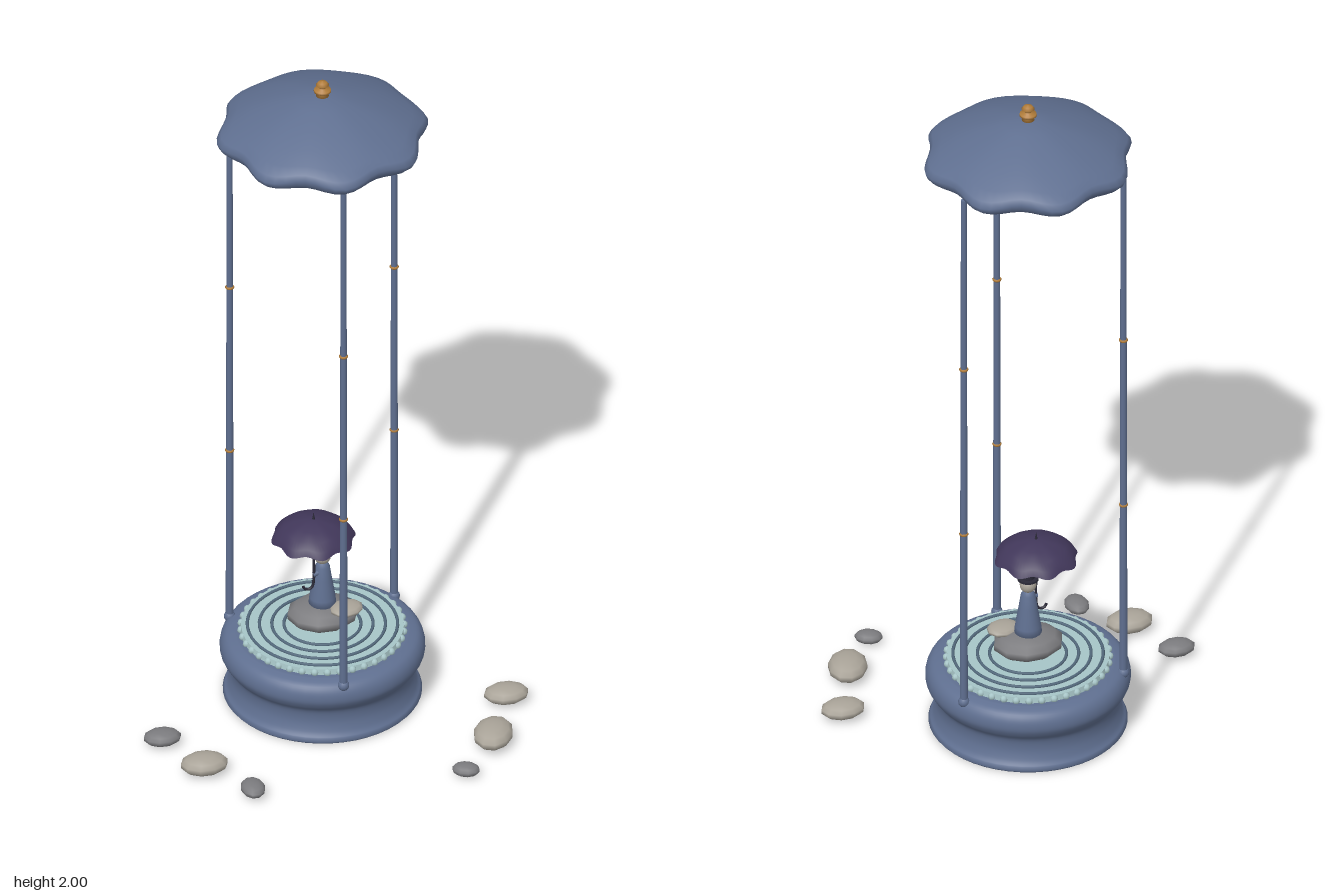
import * as THREE from 'three';
import { mergeVertices } from 'three/addons/utils/BufferGeometryUtils.js';

const mat = (name, color, side = THREE.FrontSide) => {
  const m = new THREE.MeshStandardMaterial({ color, side });
  m.name = name;
  return m;
};

export function createModel() {
  const slate = mat('slate blue', 0x5f6f90);
  const gold = mat('old gold', 0xb07c3a);
  const water = mat('pale water', 0xa6c4c6);
  const ripple = mat('ripple blue', 0x53697c);
  const paleStone = mat('pale stone', 0xa9a398);
  const greyStone = mat('grey stone', 0x7b7b7e);
  const purple = mat('dark purple', 0x41375a, THREE.DoubleSide);
  const dark = mat('dark hat', 0x2b2a38);
  const lining = mat('canopy lining', 0x8a9a9c, THREE.DoubleSide);

  const model = new THREE.Group();
  const tower = new THREE.Group();
  tower.name = 'tower';
  tower.position.z = -0.12;
  model.add(tower);

  const add = (parent, name, geo, material, x = 0, y = 0, z = 0) => {
    const m = new THREE.Mesh(geo, material);
    m.name = name;
    m.position.set(x, y, z);
    parent.add(m);
    return m;
  };
  const lathe = (pts, seg = 48) =>
    new THREE.LatheGeometry(pts.map(([r, y]) => new THREE.Vector2(r, y)), seg);

  // Lathe whose rim is pulled in and lifted between eight ribs
  const lobed = (pts, R, pull, lift) => {
    let g = lathe(pts, 64);
    const p = g.attributes.position;
    for (let i = 0; i < p.count; i++) {
      const x = p.getX(i), z = p.getZ(i);
      const t = Math.min(1, Math.hypot(x, z) / R) ** 3;
      const w = (1 - Math.cos(8 * Math.atan2(z, x))) / 2;
      const k = 1 - pull * t * w;
      p.setXYZ(i, x * k, p.getY(i) + lift * t * w, z * k);
    }
    g.deleteAttribute('uv');
    g.deleteAttribute('normal');
    g = mergeVertices(g, 1e-5);
    g.computeVertexNormals();
    return g;
  };

  // Base with a hollow waist
  const profile = new THREE.SplineCurve([
    [0.268, 0.02], [0.258, 0.035], [0.25, 0.065], [0.253, 0.098], [0.27, 0.122],
    [0.28, 0.145], [0.277, 0.172], [0.262, 0.192], [0.235, 0.201],
  ].map(([x, y]) => new THREE.Vector2(x, y))).getPoints(32).map(v => [v.x, v.y]);
  add(tower, 'base', lathe([[0, 0.003], [0.266, 0.003], [0.272, 0.01], ...profile, [0, 0.201]]), slate);

  // Pool with a beaded edge and ripple rings
  add(tower, 'pool', new THREE.CylinderGeometry(0.222, 0.226, 0.02, 48), water, 0, 0.207, 0);
  for (let i = 0; i < 40; i++) {
    const a = i / 40 * Math.PI * 2;
    add(tower, 'poolBead', new THREE.SphereGeometry(0.011, 8, 6), water,
      0.222 * Math.cos(a), 0.207, 0.222 * Math.sin(a));
  }
  for (const r of [0.205, 0.172, 0.138, 0.105]) {
    const ring = add(tower, 'ripple', new THREE.TorusGeometry(r, 0.0045, 6, 48), ripple, 0, 0.219, 0);
    ring.rotation.x = Math.PI / 2;
  }

  // Three posts with gold collars
  for (let i = 0; i < 3; i++) {
    const a = i * Math.PI * 2 / 3;
    const post = new THREE.Group();
    post.name = 'post';
    post.position.set(0.265 * Math.sin(a), 0, 0.265 * Math.cos(a));
    tower.add(post);
    add(post, 'postShaft', new THREE.CylinderGeometry(0.008, 0.011, 1.64, 10), slate, 0, 1.0, 0);
    add(post, 'postFoot', new THREE.SphereGeometry(0.016, 12, 8), slate, 0, 0.19, 0);
    for (const y of [0.735, 1.27]) {
      const collar = add(post, 'postCollar', new THREE.TorusGeometry(0.009, 0.004, 6, 12), gold, 0, y, 0);
      collar.rotation.x = Math.PI / 2;
    }
  }

  // Canopy roof with rolled rim
  add(tower, 'canopy', lobed([
    [0, 1.83], [0.13, 1.82], [0.255, 1.806], [0.275, 1.808], [0.288, 1.819], [0.294, 1.834],
    [0.282, 1.85], [0.25, 1.868], [0.2, 1.893], [0.14, 1.918], [0.07, 1.942], [0, 1.956],
  ], 0.294, 0.09, 0.012), slate);

  // Lining wedges under the canopy
  for (let i = 0; i < 8; i++) {
    const a = (i + 0.5) * Math.PI / 4, r = 0.235;
    const pt = d => [r * Math.cos(a + d), 1.805, r * Math.sin(a + d)];
    const g = new THREE.BufferGeometry();
    g.setAttribute('position', new THREE.Float32BufferAttribute(
      [0, 1.826, 0, ...pt(-0.12), ...pt(0.12)], 3));
    g.computeVertexNormals();
    add(tower, 'liningWedge', g, lining);
  }

  // Finial
  add(tower, 'finial', lathe([
    [0, 1.948], [0.02, 1.95], [0.012, 1.958], [0.024, 1.967], [0.023, 1.973], [0.01, 1.978],
    [0.012, 1.983], [0.018, 1.988], [0.012, 1.996], [0, 2.0],
  ], 20), gold);

  // Stones: squashed spheres
  const stone = (parent, name, material, [x, y, z], [sx, sy, sz], turn = 0, tilt = 0) => {
    const s = add(parent, name, new THREE.SphereGeometry(1, 10, 7), material, x, y, z);
    s.scale.set(sx, sy, sz);
    s.rotation.set(0, turn, tilt);
  };
  stone(tower, 'seatRock', greyStone, [0, 0.256, 0], [0.1, 0.038, 0.085]);
  stone(tower, 'smallRock', paleStone, [0.058, 0.287, 0.04], [0.048, 0.015, 0.04], 0.3);
  stone(model, 'pebble', greyStone, [-0.485, 0.03, 0.052], [0.053, 0.021, 0.039]);
  stone(model, 'pebble', paleStone, [-0.403, 0.035, 0.21], [0.067, 0.027, 0.05]);
  stone(model, 'pebble', greyStone, [-0.297, 0.028, 0.345], [0.034, 0.019, 0.046]);
  stone(model, 'pebble', paleStone, [0.475, 0.033, 0.05], [0.063, 0.024, 0.047]);
  stone(model, 'pebble', paleStone, [0.397, 0.037, 0.24], [0.055, 0.03, 0.075], 2.75);
  stone(model, 'pebble', greyStone, [0.29, 0.025, 0.378], [0.039, 0.017, 0.03], -0.4);

  // Robed figure with a hat
  const figure = new THREE.Group();
  figure.name = 'figure';
  tower.add(figure);
  add(figure, 'robe', lathe([[0, 0.28], [0.039, 0.28], [0.036, 0.31], [0.026, 0.37], [0.02, 0.41], [0.012, 0.422], [0, 0.424]], 20), slate);
  add(figure, 'head', new THREE.SphereGeometry(0.023, 16, 12), paleStone, 0, 0.441, 0);
  add(figure, 'hatBrim', new THREE.CylinderGeometry(0.029, 0.029, 0.006, 20), dark, 0, 0.461, 0);
  add(figure, 'hatCrown', new THREE.CylinderGeometry(0.017, 0.018, 0.02, 16), dark, 0, 0.473, 0);
  const arm = new THREE.LineCurve3(new THREE.Vector3(0.012, 0.4, 0.004), new THREE.Vector3(-0.03, 0.392, 0.014));
  add(figure, 'arm', new THREE.TubeGeometry(arm, 2, 0.007, 8), slate);

  // Umbrella with a hooked handle
  const umbrella = new THREE.Group();
  umbrella.name = 'umbrella';
  umbrella.position.set(-0.028, 0, 0.014);
  tower.add(umbrella);
  add(umbrella, 'umbrellaCover', lobed([
    [0.117, 0.513], [0.106, 0.532], [0.084, 0.55], [0.055, 0.564], [0.025, 0.572], [0, 0.576],
  ], 0.117, 0.08, 0.008), purple);
  add(umbrella, 'umbrellaTip', new THREE.ConeGeometry(0.005, 0.026, 8), dark, 0, 0.584, 0);
  const handle = new THREE.CatmullRomCurve3([
    [0, 0.575], [0, 0.48], [0, 0.37], [-0.004, 0.353], [-0.015, 0.346], [-0.027, 0.352], [-0.029, 0.362],
  ].map(([x, y]) => new THREE.Vector3(x, y, 0)));
  add(umbrella, 'umbrellaHandle', new THREE.TubeGeometry(handle, 40, 0.004, 8), dark);

  return model;
}
